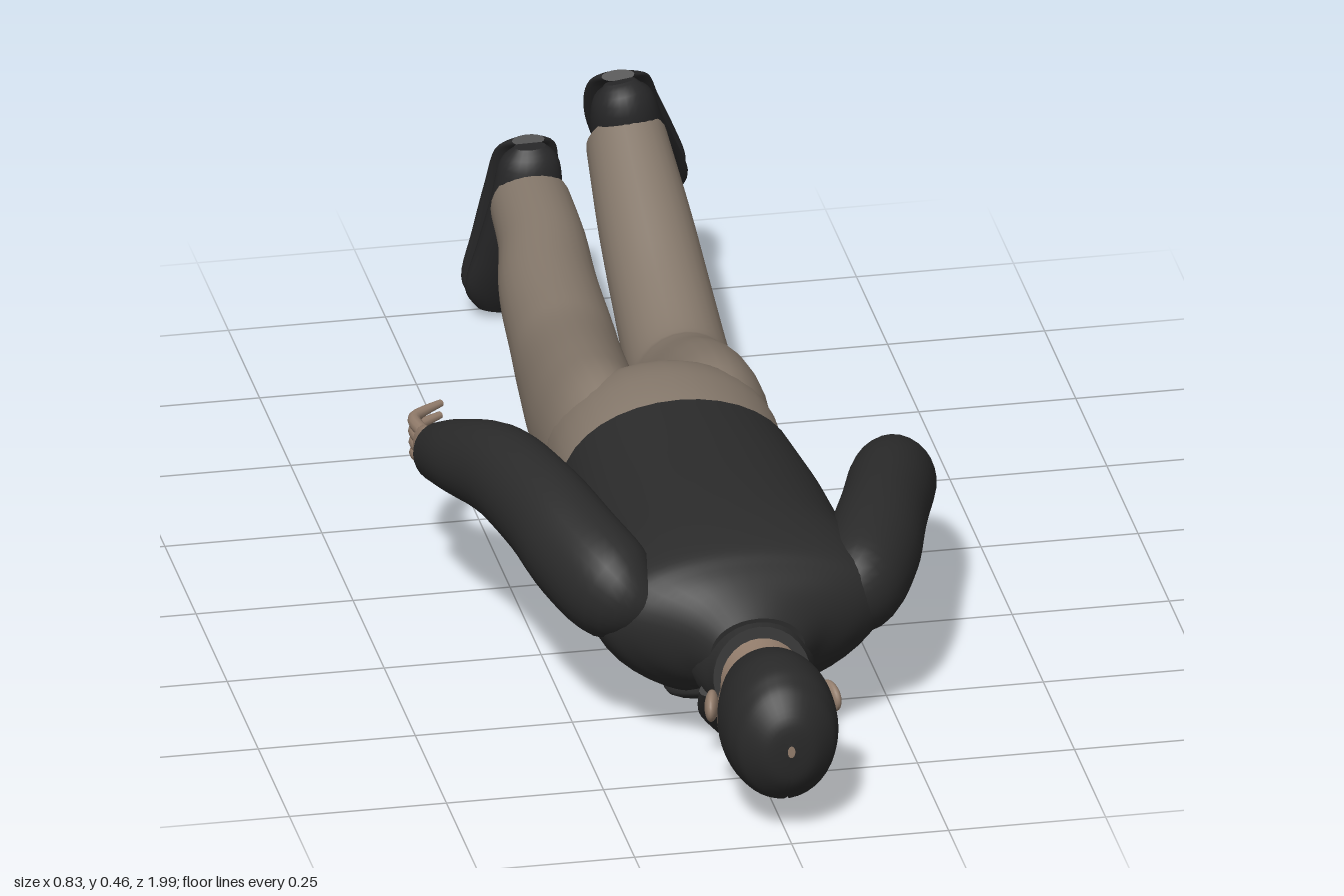
import * as THREE from 'three';

const mat = (name, color) => {
  const m = new THREE.MeshStandardMaterial({ color, side: THREE.DoubleSide });
  m.name = name;
  return m;
};

// Skin through rings [x, y, z, halfWidth, halfHeight, startAngle?]; smoothed between rings.
// fixed: constant axis for all rings; egg: widens the upper side; open: rings are arcs over the top.
function loft(rings, { fixed = null, egg = 0, sub = 5, seg = 28, open = false } = {}) {
  const fine = [], n = rings.length, width = rings[0].length;
  const at = (i, k) => rings[Math.min(n - 1, Math.max(0, i))][k];
  for (let i = 0; i < n - 1; i++) {
    for (let s = 0; s < sub + (i === n - 2 ? 1 : 0); s++) {
      const t = s / sub, ring = [];
      for (let k = 0; k < width; k++) {
        const a = at(i - 1, k), b = at(i, k), c = at(i + 1, k), d = at(i + 2, k);
        ring.push(b + 0.5 * t * (c - a + t * (2 * a - 5 * b + 4 * c - d + t * (3 * (b - c) + d - a))));
      }
      fine.push(ring);
    }
  }
  const pos = [], idx = [], P = fine.map(r => new THREE.Vector3(r[0], r[1], r[2]));
  const cols = seg + 1;
  fine.forEach((r, i) => {
    const T = fixed ? fixed.clone() : P[Math.min(i + 1, P.length - 1)].clone().sub(P[Math.max(i - 1, 0)]).normalize();
    const U = new THREE.Vector3(1, 0, 0).addScaledVector(T, -T.x).normalize(), V = U.clone().cross(T);
    for (let j = 0; j < cols; j++) {
      const a0 = open ? Math.max(r[5], -Math.PI / 2) : 0, span = open ? Math.PI - 2 * a0 : Math.PI * 2;
      const a = a0 + span * (open ? j / seg : (j % seg) / seg);
      const s = Math.sin(a), c = Math.cos(a) * (1 + egg * s);
      pos.push(...P[i].clone().addScaledVector(U, c * r[3]).addScaledVector(V, s * r[4]).toArray());
    }
  });
  const wrap = j => (open ? j : j % seg);
  for (let i = 0; i < fine.length - 1; i++) for (let j = 0; j < seg; j++) {
    const a = i * cols + wrap(j), b = i * cols + wrap(j + 1), c = a + cols, d = b + cols;
    idx.push(a, c, b, b, c, d);
  }
  // End caps with their own vertices, so that the rims stay sharp
  if (!open) [0, fine.length - 1].forEach((i, end) => {
    const base = pos.length / 3;
    pos.push(...P[i].toArray());
    for (let j = 0; j < seg; j++) pos.push(...pos.slice((i * cols + j) * 3, (i * cols + j) * 3 + 3));
    for (let j = 0; j < seg; j++) {
      const a = base + 1 + j, b = base + 1 + (j + 1) % seg;
      idx.push(...(end ? [base, b, a] : [base, a, b]));
    }
  });
  const g = new THREE.BufferGeometry();
  g.setAttribute('position', new THREE.Float32BufferAttribute(pos, 3));
  g.setIndex(idx);
  g.computeVertexNormals();
  return g;
}

export function createModel() {
  const root = new THREE.Group();
  root.name = 'lyingMan';
  const jacket = mat('jacketBlack', 0x2b2b2b), trousers = mat('trouserTaupe', 0x85786b);
  const skin = mat('skin', 0x937d6c), hair = mat('hairBlack', 0x292929), shoe = mat('shoeBlack', 0x272728);
  const back = new THREE.Vector3(0, 0, -1);
  const add = (name, geo, material, parent = root) => {
    const m = new THREE.Mesh(geo, material);
    m.name = name;
    parent.add(m);
    return m;
  };
  const blob = (name, material, p, s) => {
    const m = add(name, new THREE.SphereGeometry(1, 20, 14), material);
    m.position.set(...p);
    m.scale.set(...s);
    return m;
  };

  // Jacket body from collar to hem
  add('jacketBody', loft([
    [0, 0.2, 0.73, 0.075, 0.07], [0, 0.21, 0.69, 0.115, 0.088], [0, 0.215, 0.65, 0.185, 0.108],
    [0, 0.212, 0.61, 0.225, 0.13], [0, 0.203, 0.53, 0.228, 0.152], [0, 0.2, 0.42, 0.205, 0.16],
    [0, 0.195, 0.25, 0.197, 0.163], [-0.003, 0.191, 0.105, 0.186, 0.166]],
    { fixed: back, egg: 0.16, seg: 40 }), jacket);
  add('collar', loft([
    [0, 0.185, 0.765, 0.078, 0.08], [0, 0.185, 0.735, 0.083, 0.088], [0, 0.19, 0.68, 0.1, 0.1]],
    { fixed: new THREE.Vector3(0, -0.3, -0.95).normalize() }), jacket);
  for (const s of [-1, 1]) {
    add('collarTip', loft([
      [s * 0.07, 0.15, 0.72, 0.022, 0.014], [s * 0.06, 0.1, 0.69, 0.026, 0.012],
      [s * 0.045, 0.05, 0.662, 0.007, 0.006]], { seg: 12 }), jacket);
    add('lapel', loft([
      [s * 0.06, 0.12, 0.67, 0.015, 0.008], [s * 0.075, 0.076, 0.56, 0.035, 0.012],
      [s * 0.06, 0.053, 0.44, 0.03, 0.012], [s * 0.03, 0.038, 0.3, 0.008, 0.006]], { seg: 12 }), jacket);
    add('frontFlap', loft([
      [s * 0.06, 0.075, 0.5, 0.015, 0.015], [s * 0.075, 0.058, 0.36, 0.033, 0.028],
      [s * 0.08, 0.046, 0.22, 0.037, 0.033], [s * 0.08, 0.041, 0.105, 0.036, 0.034]], { seg: 18 }), jacket);
  }

  // Sleeves
  add('leftSleeve', loft([
    [0.15, 0.235, 0.625, 0.03, 0.04], [0.185, 0.24, 0.585, 0.068, 0.08], [0.228, 0.25, 0.49, 0.076, 0.085],
    [0.272, 0.253, 0.36, 0.07, 0.08], [0.315, 0.235, 0.22, 0.068, 0.078],
    [0.352, 0.18, 0.1, 0.056, 0.06], [0.369, 0.135, 0.025, 0.046, 0.046]]), jacket);
  add('rightSleeve', loft([
    [-0.15, 0.245, 0.625, 0.03, 0.04], [-0.195, 0.265, 0.585, 0.072, 0.085], [-0.238, 0.293, 0.49, 0.078, 0.09],
    [-0.27, 0.318, 0.38, 0.073, 0.084], [-0.307, 0.322, 0.24, 0.068, 0.076],
    [-0.345, 0.295, 0.12, 0.06, 0.062], [-0.366, 0.265, 0.03, 0.047, 0.048]]), jacket);

  // Hands: palm, curled fingers and thumb
  const hand = (name, palm, fingers) => {
    const g = new THREE.Group();
    g.name = name;
    root.add(g);
    add('palm', loft(palm, { seg: 16 }), skin, g);
    fingers.forEach((f, i) => add(i < 4 ? 'finger' : 'thumb', loft(
      f.map((p, k) => [...p, [0.011, 0.01, 0.006][k], [0.011, 0.01, 0.006][k]]), { seg: 10 }), skin, g));
  };
  hand('leftHand', [
    [0.37, 0.14, 0.04, 0.027, 0.027], [0.372, 0.115, 0.005, 0.022, 0.03],
    [0.38, 0.085, -0.03, 0.018, 0.036], [0.385, 0.06, -0.055, 0.014, 0.03]],
    [0, 1, 2, 3].map(i => [
      [0.385, 0.04 + i * 0.013, -0.045 - i * 0.009], [0.4 - i * 0.002, 0.025 + i * 0.014, -0.065 - i * 0.011],
      [0.38 - i * 0.009, 0.012 + i * 0.016, -0.08 - i * 0.01]])
      .concat([[[0.365, 0.09, -0.015], [0.343, 0.065, -0.03], [0.338, 0.04, -0.045]]]));
  hand('rightHand', [
    [-0.366, 0.265, 0.045, 0.027, 0.027], [-0.368, 0.25, 0.005, 0.022, 0.03],
    [-0.372, 0.238, -0.04, 0.018, 0.037], [-0.376, 0.23, -0.075, 0.014, 0.032]],
    [0, 1, 2, 3].map(i => [
      [-0.375, 0.207 + i * 0.016, -0.07], [-0.377, 0.202 + i * 0.017, -0.115 - i * 0.004],
      [-0.335 + i * 0.003, 0.204 + i * 0.016, -0.145 - i * 0.009]])
      .concat([[[-0.362, 0.23, -0.015], [-0.338, 0.212, -0.035], [-0.33, 0.206, -0.07]]]));

  // Trousers: hips and two bent legs
  add('hips', loft([
    [-0.003, 0.2, 0.14, 0.17, 0.148], [-0.003, 0.207, 0.06, 0.181, 0.152], [0, 0.207, -0.02, 0.183, 0.15],
    [0, 0.2, -0.09, 0.172, 0.132], [0, 0.19, -0.16, 0.12, 0.075]], { fixed: back, seg: 36 }), trousers);
  add('leftLeg', loft([
    [0.08, 0.205, 0.06, 0.05, 0.08], [0.092, 0.202, -0.04, 0.084, 0.132], [0.1, 0.178, -0.18, 0.09, 0.128],
    [0.106, 0.138, -0.35, 0.087, 0.102], [0.108, 0.14, -0.44, 0.083, 0.092], [0.108, 0.195, -0.57, 0.079, 0.084],
    [0.106, 0.27, -0.71, 0.074, 0.08], [0.104, 0.35, -0.85, 0.064, 0.073]]), trousers);
  add('rightLeg', loft([
    [-0.08, 0.205, 0.06, 0.05, 0.08], [-0.092, 0.205, -0.04, 0.084, 0.132], [-0.091, 0.192, -0.18, 0.09, 0.128],
    [-0.076, 0.178, -0.38, 0.086, 0.104], [-0.068, 0.185, -0.5, 0.083, 0.092], [-0.06, 0.2, -0.65, 0.078, 0.08],
    [-0.044, 0.217, -0.78, 0.069, 0.07], [-0.038, 0.226, -0.9, 0.064, 0.065]]), trousers);

  // Shoes: upper from heel to toe, with a flat sole behind it
  const makeShoe = (name, rings) => {
    const g = new THREE.Group();
    g.name = name;
    root.add(g);
    add('upper', loft(rings, { seg: 24 }), shoe, g);
    add('sole', loft(rings.map(([x, y, z, w, h]) => [x, y + h * 0.3, z - h * 0.85, w * 1.03, 0.009]), { seg: 20 }), shoe, g);
  };
  makeShoe('leftShoe', [
    [0.092, 0.455, -0.845, 0.025, 0.015], [0.097, 0.425, -0.843, 0.048, 0.048], [0.11, 0.36, -0.868, 0.058, 0.06],
    [0.142, 0.285, -0.922, 0.06, 0.04], [0.17, 0.225, -0.955, 0.055, 0.026], [0.185, 0.195, -0.972, 0.03, 0.014]]);
  makeShoe('rightShoe', [
    [-0.038, 0.325, -0.91, 0.025, 0.015], [-0.038, 0.295, -0.912, 0.048, 0.038], [-0.042, 0.22, -0.921, 0.057, 0.05],
    [-0.055, 0.13, -0.945, 0.062, 0.038], [-0.072, 0.055, -0.965, 0.06, 0.024], [-0.078, 0.02, -0.973, 0.032, 0.013]]);

  // Head facing down, with neck; rows are [z, lowest y, highest y, half width]
  add('neck', loft([
    [0, 0.175, 0.83, 0.066, 0.068], [0, 0.175, 0.77, 0.067, 0.066], [0, 0.185, 0.68, 0.072, 0.07]], { fixed: back }), skin);
  const skull = [
    [0.995, 0.155, 0.175, 0.008], [0.987, 0.118, 0.207, 0.038], [0.962, 0.084, 0.243, 0.066], [0.92, 0.058, 0.27, 0.085],
    [0.87, 0.049, 0.274, 0.088], [0.81, 0.048, 0.255, 0.082], [0.76, 0.053, 0.21, 0.066], [0.727, 0.066, 0.13, 0.03]];
  add('head', loft(skull.map(([z, lo, hi, w]) => [0, (lo + hi) / 2, z, w, (hi - lo) / 2]), { fixed: back, seg: 36 }), skin);

  // Hair cap: arcs over the skull that stop at the hairline height in the last column
  const cap = [
    [1, 0.155, 0.175, 0.006, 0], [0.994, 0.11, 0.214, 0.042, 0], [0.968, 0.074, 0.25, 0.073, 0],
    [0.945, 0.06, 0.266, 0.084, 0.062], [0.92, 0.054, 0.276, 0.09, 0.085], [0.88, 0.046, 0.279, 0.0925, 0.145],
    [0.845, 0.046, 0.272, 0.09, 0.2], [0.815, 0.046, 0.261, 0.086, 0.228], [0.795, 0.048, 0.25, 0.081, 0.245]];
  add('hair', loft(cap.map(([z, lo, hi, w, line]) => {
    const c = (lo + hi) / 2, h = (hi - lo) / 2;
    return [0, c, z, w, h, Math.asin(Math.max(-1, Math.min(1, (line - c) / h)))];
  }), { fixed: back, open: true, seg: 36 }), hair);

  // Face details and ears
  add('nose', loft([
    [0, 0.054, 0.875, 0.008, 0.008], [0, 0.045, 0.85, 0.011, 0.012], [0, 0.038, 0.826, 0.017, 0.015],
    [0, 0.05, 0.812, 0.008, 0.008]], { fixed: back, seg: 14 }), skin);
  blob('lips', skin, [0, 0.052, 0.787], [0.026, 0.01, 0.009]);
  blob('chin', skin, [0, 0.066, 0.748], [0.03, 0.018, 0.022]);
  for (const s of [-1, 1]) {
    blob('ear', skin, [s * 0.095, 0.178, 0.836], [0.011, 0.024, 0.032]).rotation.y = s * 0.25;
    blob('eyebrow', hair, [s * 0.036, 0.0625, 0.888], [0.019, 0.004, 0.004]).rotation.z = s * 0.35;
    blob('eyelid', skin, [s * 0.035, 0.065, 0.868], [0.015, 0.008, 0.008]);
  }
  return root;
}
